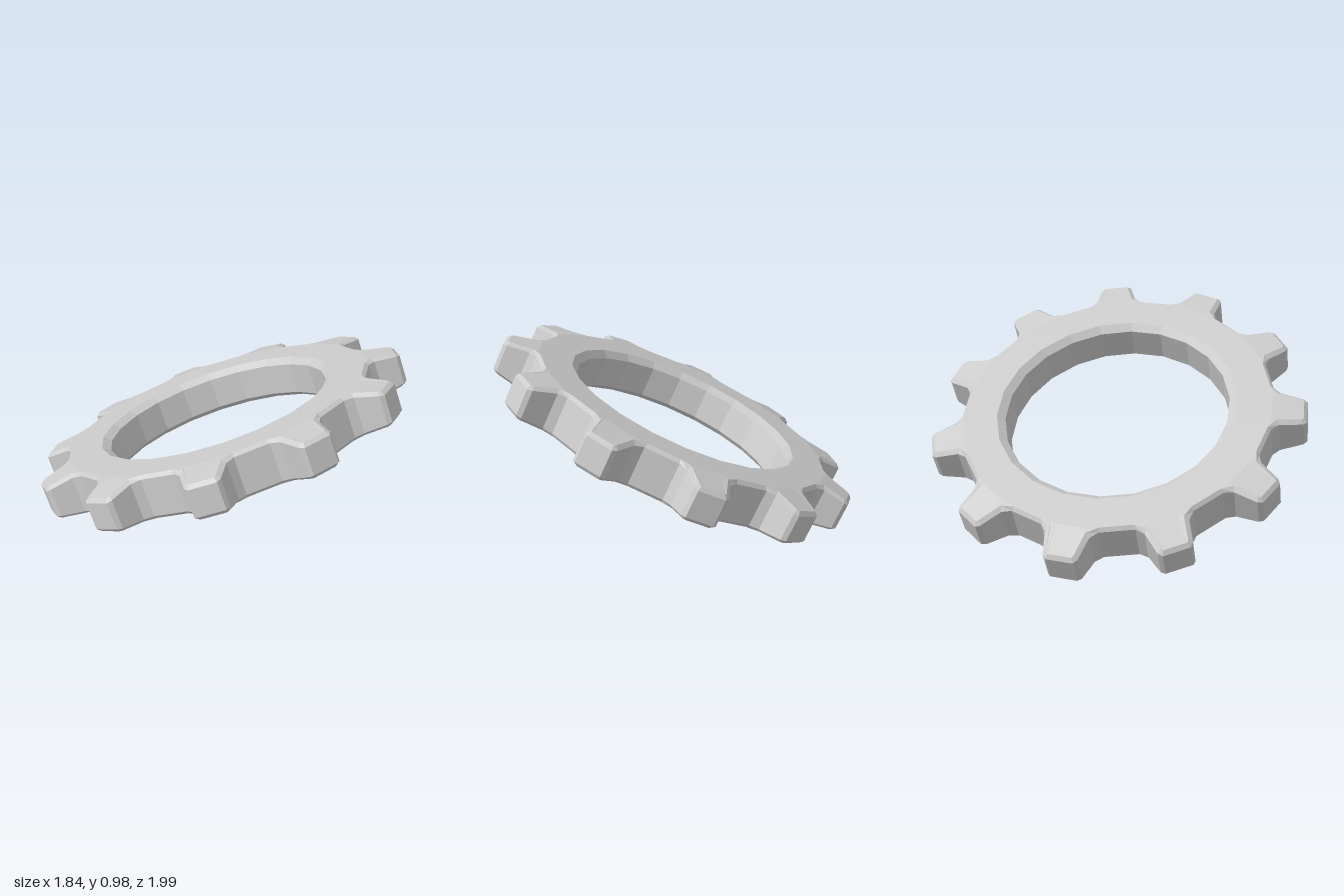
import * as THREE from 'three';

const TEETH = 11;
const STEP = (Math.PI * 2) / TEETH;
const HOLE_ANGLE = Math.PI / 22;

// Half of one tooth: [radial distance, half width, height above mid plane], valley -> tip
const outer = [[0.817, 0.147, 0.098], [0.855, 0.113, 0.095], [0.975, 0.088, 0.075], [0.995, 0.07, 0.07]];
const bevel = [[0.80, 0.147, 0.116], [0.84, 0.092, 0.114], [0.965, 0.068, 0.093], [0.977, 0.06, 0.09]];
const face = [[0.799, 0.147, 0.116], [0.812, 0.092, 0.116], [0.814, 0.068, 0.116], [0.815, 0.06, 0.116]];

// The hole has two corners per tooth, so four outline points share each one
const hole = (r, y) => Array(4).fill([r * Math.cos(HOLE_ANGLE), r * Math.sin(HOLE_ANGLE), y]);

// Repeat a mirrored half tooth all the way round; side is +1 for upper, -1 for lower
function makeRing(half, side) {
  const points = [];
  const tooth = [
    ...half.map(([u, v, y]) => [u, -v, y]),
    ...half.slice().reverse(),
  ];
  for (let i = 0; i < TEETH; i++) {
    const a = Math.PI + i * STEP;
    const c = Math.cos(a), s = Math.sin(a);
    for (const [u, v, y] of tooth) {
      points.push(new THREE.Vector3(u * c - v * s, y * side, u * s + v * c));
    }
  }
  return points;
}

// Skin the closed cross-section, leaving out collapsed triangles
function skin(rings) {
  const positions = [];
  const triangle = (a, b, c) => {
    if (new THREE.Triangle(a, b, c).getArea() < 1e-7) return;
    for (const p of [a, b, c]) positions.push(p.x, p.y, p.z);
  };
  rings.forEach((ring, j) => {
    const next = rings[(j + 1) % rings.length];
    ring.forEach((a, i) => {
      const k = (i + 1) % ring.length;
      triangle(a, ring[k], next[i]);
      triangle(ring[k], next[k], next[i]);
    });
  });
  const geometry = new THREE.BufferGeometry();
  geometry.setAttribute('position', new THREE.Float32BufferAttribute(positions, 3));
  geometry.computeVertexNormals();
  return geometry;
}

export function createModel() {
  const group = new THREE.Group();
  group.name = 'gear';

  // From the hole wall over the upper face, down the teeth and back underneath
  const halves = [hole(0.597, 0.085), hole(0.637, 0.116), face, bevel, outer];
  const rings = [
    ...halves.map((h) => makeRing(h, 1)),
    ...halves.slice().reverse().map((h) => makeRing(h, -1)),
  ];
  const geometry = skin(rings);

  // Lean the wheel and rest its lowest tooth on the ground
  geometry.rotateZ(THREE.MathUtils.degToRad(25));
  geometry.center();
  geometry.computeBoundingBox();
  geometry.translate(0, -geometry.boundingBox.min.y, 0);

  const material = new THREE.MeshStandardMaterial({ color: 0xcccccc, flatShading: true });
  const wheel = new THREE.Mesh(geometry, material);
  wheel.name = 'toothedRing';
  group.add(wheel);
  return group;
}
